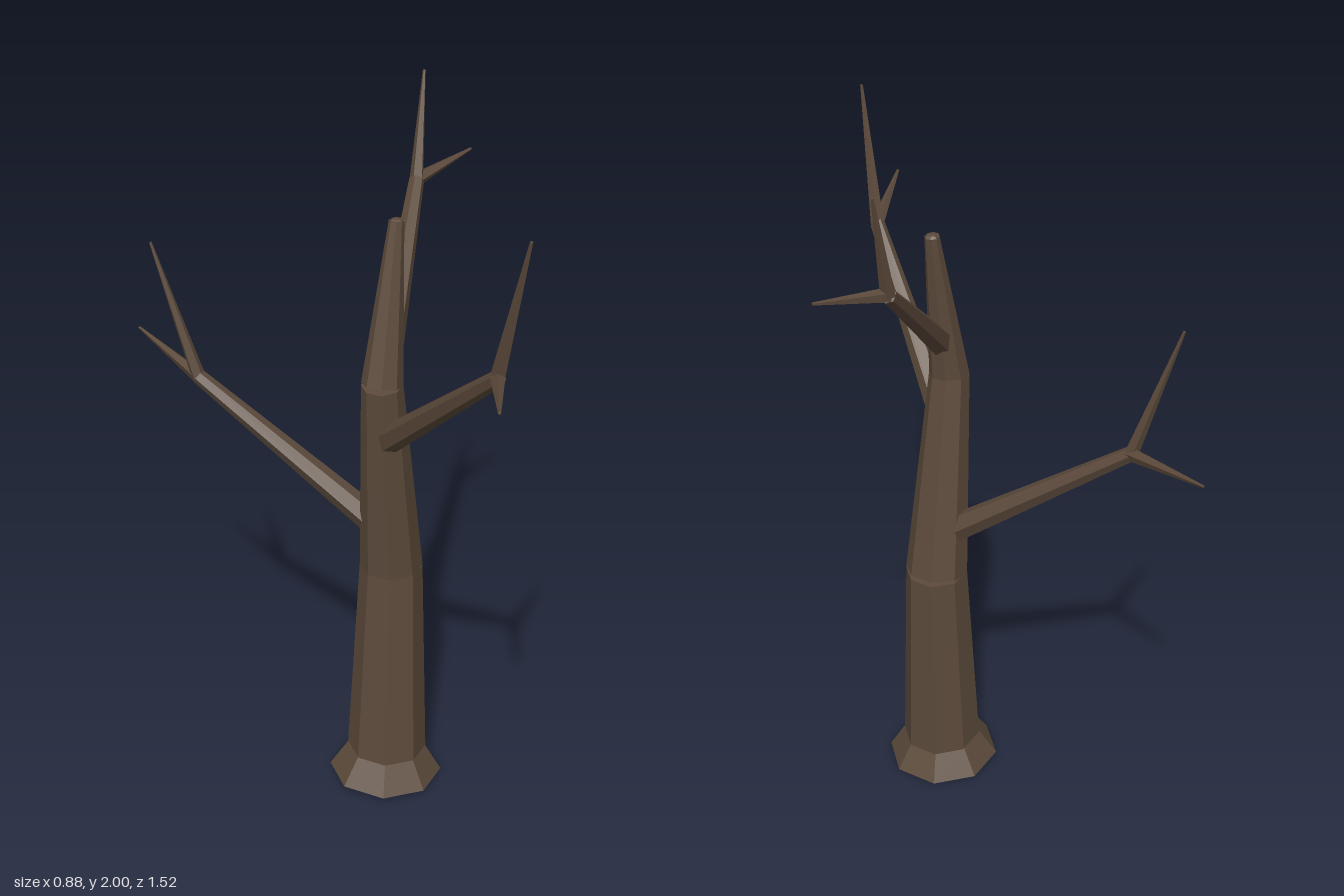
import * as THREE from 'three';

const bark = new THREE.MeshStandardMaterial({ color: 0x5c4a3b, flatShading: true });

// Tapered limb between two points
function limb(name, from, to, r0, r1, sides) {
  const a = new THREE.Vector3(...from);
  const dir = new THREE.Vector3(...to).sub(a);
  const length = dir.length();
  const geo = new THREE.CylinderGeometry(r1, r0, length, sides).translate(0, length / 2, 0);
  const mesh = new THREE.Mesh(geo, bark);
  mesh.name = name;
  mesh.position.copy(a);
  mesh.quaternion.setFromUnitVectors(new THREE.Vector3(0, 1, 0), dir.normalize());
  return mesh;
}

export function createModel() {
  const tree = new THREE.Group();
  tree.name = 'bareTree';

  // Flared foot and three bent trunk sections: [centre, radius]
  tree.add(limb('rootFlare', [-0.1, 0.012, 0.01], [-0.095, 0.092, 0.01], 0.165, 0.115, 8));
  const trunk = [
    [[-0.097, 0.008, 0.01], 0.119],
    [[-0.063, 0.7, 0], 0.089],
    [[-0.129, 1.3, 0.04], 0.056],
    [[-0.052, 1.73, 0.015], 0.02],
  ];
  for (let i = 0; i < 3; i++) {
    const [p, r] = trunk[i], [q, s] = trunk[i + 1];
    tree.add(limb('trunkSection' + (i + 1), p, q, r, s, 8));
  }
  // Rounded stub on top of the trunk
  const tip = new THREE.Mesh(new THREE.SphereGeometry(0.02, 8, 4), bark);
  tip.name = 'trunkTip';
  tip.scale.y = 0.5;
  tip.position.set(-0.052, 1.727, 0.015);
  tree.add(tip);

  // Branches, each forking into two pointed twigs
  const branches = [
    { name: 'upperBranch', start: [-0.09, 1.41, 0.03], fork: [0.225, 1.72, -0.2], r: 0.038,
      twigs: [[0.295, 2, -0.245], [0.44, 1.757, -0.206]] },
    { name: 'frontBranch', start: [-0.12, 1.12, 0.03], fork: [-0.235, 1.533, 0.557], r: 0.04,
      twigs: [[-0.26, 1.91, 0.67], [-0.44, 1.586, 0.757]] },
    { name: 'rearBranch', start: [-0.08, 0.815, 0], fork: [-0.348, 1.22, -0.473], r: 0.042,
      twigs: [[-0.405, 1.6, -0.573], [-0.335, 1.27, -0.76]] },
  ];
  for (const b of branches) {
    const group = new THREE.Group();
    group.name = b.name;
    group.add(limb('branchStem', b.start, b.fork, b.r, 0.021, 6));
    b.twigs.forEach((end, i) => group.add(limb('twig' + (i + 1), b.fork, end, 0.02, 0.004, 5)));
    tree.add(group);
  }
  return tree;
}
